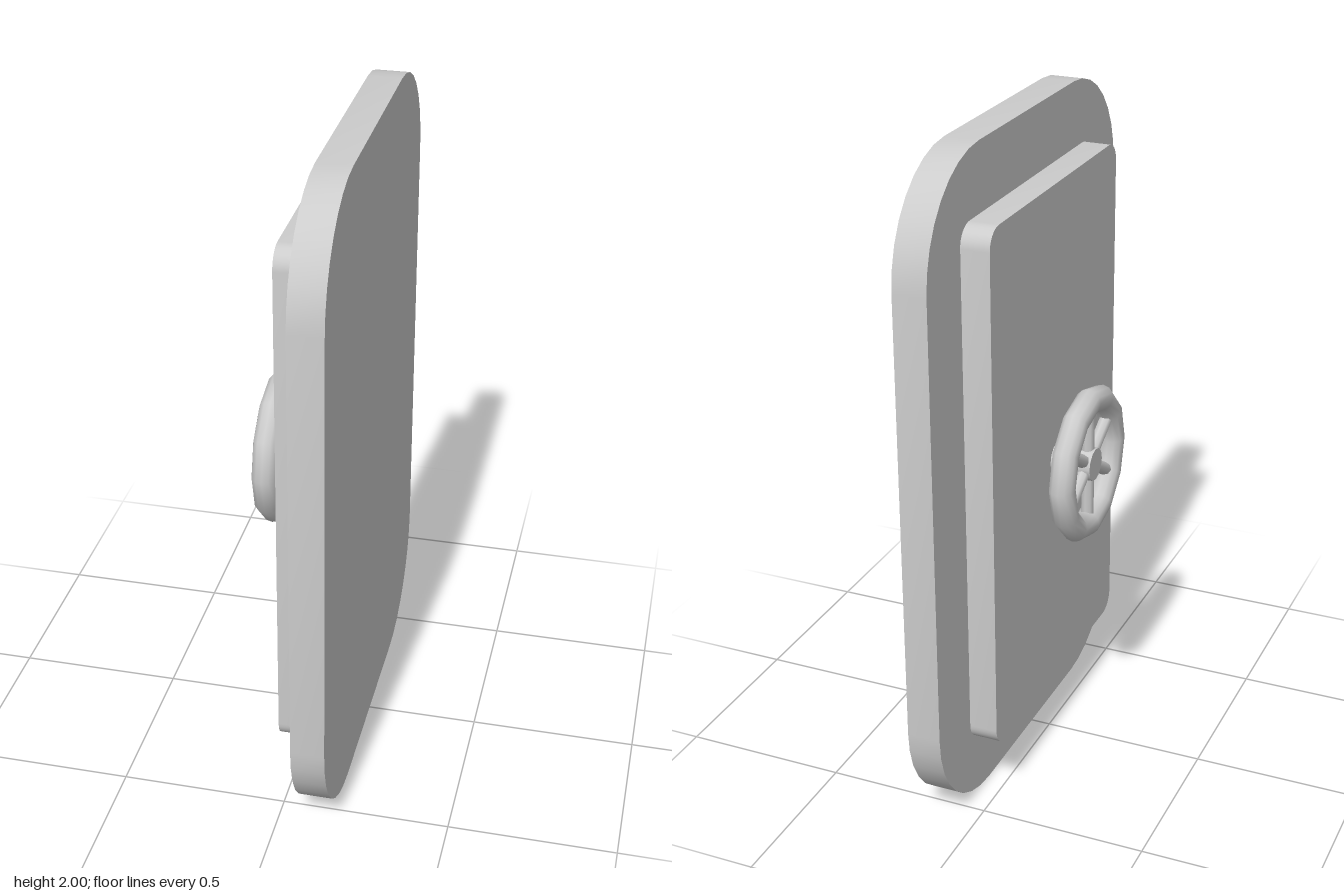
import * as THREE from 'three';
import { toCreasedNormals } from 'three/addons/utils/BufferGeometryUtils.js';

const material = new THREE.MeshStandardMaterial({ color: 0xcccccc });

function part(name, geometry, parent) {
  const mesh = new THREE.Mesh(geometry, material);
  mesh.name = name;
  parent.add(mesh);
  return mesh;
}

// Upright slab with rounded corners, spanning x0..x1
function slab(halfWidth, height, radius, x0, x1) {
  const w = halfWidth - radius, h = height / 2 - radius;
  const shape = new THREE.Shape();
  [[w, h], [-w, h], [-w, -h], [w, -h]].forEach(([cx, cy], i) =>
    shape.absarc(cx, cy, radius, i * Math.PI / 2, (i + 1) * Math.PI / 2, false));
  shape.closePath();
  const geometry = new THREE.ExtrudeGeometry(shape, { depth: x1 - x0, bevelEnabled: false, curveSegments: 4 });
  geometry.rotateY(Math.PI / 2).translate(x0, 1, 0);
  return toCreasedNormals(geometry, 0.6);
}

export function createModel() {
  const model = new THREE.Group();
  model.name = 'hatchDoor';

  // Back plate and raised panel
  part('backPlate', slab(0.66, 2, 0.33, 0.06, 0.16), model);
  part('raisedPanel', slab(0.457, 1.6, 0.06, -0.025, 0.07), model);

  // Hand wheel, turning about the x axis
  const wheel = new THREE.Group();
  wheel.name = 'handWheel';
  wheel.position.set(-0.124, 0.95, 0);
  model.add(wheel);

  part('wheelRim', new THREE.TorusGeometry(0.198, 0.039, 12, 12).rotateY(Math.PI / 2), wheel);
  part('wheelShaft', new THREE.CylinderGeometry(0.05, 0.05, 0.14, 12)
    .rotateZ(Math.PI / 2).translate(0.045, 0, 0), wheel);

  // Three bars crossing at the hub make six spokes
  for (let i = 0; i < 3; i++) {
    const bar = part('wheelSpokes', new THREE.CylinderGeometry(0.02, 0.02, 0.38, 8), wheel);
    bar.rotation.x = i * Math.PI / 3;
  }
  return model;
}
